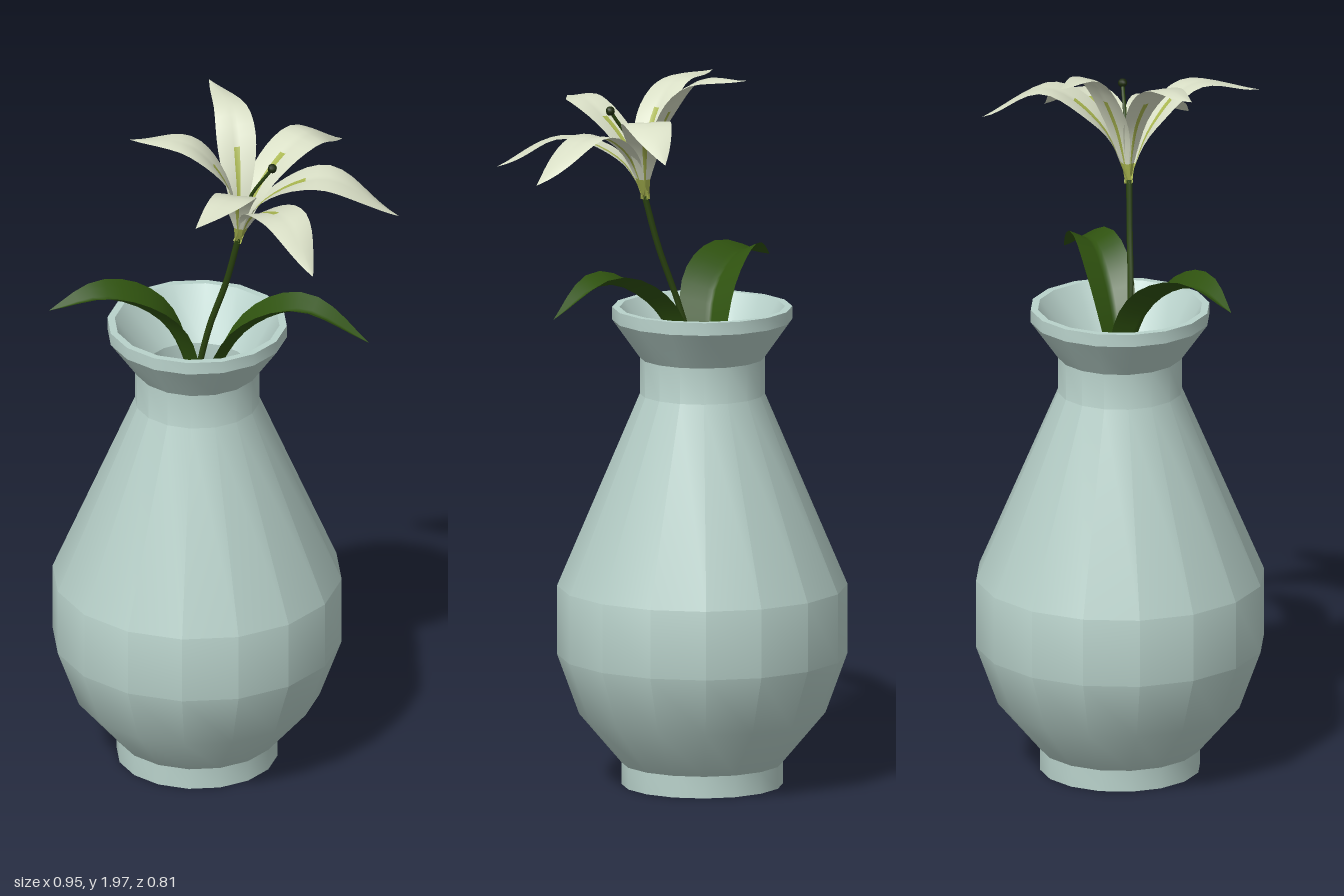
import * as THREE from 'three';
import { toCreasedNormals } from 'three/addons/utils/BufferGeometryUtils.js';

const mat = (name, color, side = THREE.FrontSide) => {
  const m = new THREE.MeshStandardMaterial({ color, side });
  m.name = name;
  return m;
};
const curve = (pts) => new THREE.CatmullRomCurve3(pts.map((p) => new THREE.Vector3(...p)));

// Curved blade swept along a path; halfWidth(t) and lift(u, t) shape its section.
// tinted(t, u) picks the cells that take the second material.
function blade(pts, halfWidth, lift, tinted) {
  const path = curve(pts), rows = 18, us = [-1, -0.6, -0.15, 0, 0.15, 0.6, 1];
  const a = path.getPoint(0), b = path.getPoint(1);
  const side = new THREE.Vector3(b.z - a.z, 0, a.x - b.x).normalize();
  const pos = [], plain = [], tint = [];
  for (let i = 0; i <= rows; i++) {
    const t = i / rows, p = path.getPointAt(t), w = halfWidth(t);
    const n = new THREE.Vector3().crossVectors(path.getTangentAt(t), side).normalize();
    for (const u of us) {
      const v = p.clone().addScaledVector(side, u * w).addScaledVector(n, lift(u, t) * w);
      pos.push(v.x, v.y, v.z);
    }
  }
  const c = us.length;
  for (let i = 0; i < rows; i++) {
    for (let j = 0; j < c - 1; j++) {
      const k = i * c + j;
      const list = tinted((i + 0.5) / rows, (us[j] + us[j + 1]) / 2) ? tint : plain;
      list.push(k, k + c, k + 1, k + 1, k + c, k + c + 1);
    }
  }
  const g = new THREE.BufferGeometry();
  g.setAttribute('position', new THREE.Float32BufferAttribute(pos, 3));
  g.setIndex([...plain, ...tint]);
  g.addGroup(0, plain.length, 0);
  g.addGroup(plain.length, tint.length, 1);
  g.computeVertexNormals();
  return g;
}

export function createModel() {
  const root = new THREE.Group();
  const glaze = mat('glaze', 0xb9d2cb);
  const leafGreen = mat('leaf green', 0x2f520f, THREE.DoubleSide);
  const stemGreen = mat('stem green', 0x2b4410);
  const cream = mat('petal cream', 0xd9dfc6, THREE.DoubleSide);
  const lime = mat('petal streak', 0xa9b650, THREE.DoubleSide);
  const dark = mat('stigma dark', 0x1c2a0c);
  const add = (name, geo, material, parent = root) => {
    const m = new THREE.Mesh(geo, material);
    m.name = name;
    parent.add(m);
    return m;
  };

  // Vase: outer wall, lip, inner wall and floor in one turned profile
  const profile = [
    [0, 0], [0.22, 0], [0.22, 0.06], [0.335, 0.195], [0.395, 0.36], [0.395, 0.55],
    [0.17, 1.08], [0.17, 1.18], [0.245, 1.285], [0.245, 1.32], [0.225, 1.32],
    [0.143, 1.18], [0.143, 1.08], [0.365, 0.55], [0.365, 0.36], [0.3, 0.2], [0, 0.1],
  ].map(([x, y]) => new THREE.Vector2(x, y));
  const vase = add('vase', toCreasedNormals(new THREE.LatheGeometry(profile, 16), 0.5), glaze);
  vase.position.set(-0.083, 0, -0.012);

  // Stem
  const stemPath = curve([[-0.09, 0.85, -0.03], [-0.083, 1.1, 0], [-0.03, 1.32, 0.024],
    [0.03, 1.49, 0.03], [0.068, 1.63, 0.034]]);
  add('stem', new THREE.TubeGeometry(stemPath, 20, 0.009, 6), stemGreen);

  // Two arching leaves folded along the midrib
  const leaves = [
    [[-0.1, 0.95, -0.03], [-0.11, 1.2, 0.01], [-0.155, 1.35, 0.075], [-0.265, 1.425, 0.165], [-0.4, 1.395, 0.25]],
    [[-0.07, 0.95, 0], [-0.01, 1.2, -0.01], [0.08, 1.34, -0.025], [0.22, 1.41, -0.05], [0.4, 1.335, -0.1]],
  ];
  leaves.forEach((pts, i) => {
    const size = i ? 0.066 : 0.08;
    add(i ? 'leftLeaf' : 'rightLeaf', blade(pts,
      (t) => size * Math.max(Math.sin(Math.PI * Math.pow(t, 1.3)), 0.25 * (1 - t)),
      (u) => 0.5 * Math.abs(u), () => false), [leafGreen, leafGreen]);
  });

  // Six petals: two path points, tip and half width, opening from a shared throat
  const flower = new THREE.Group();
  flower.name = 'flower';
  root.add(flower);
  const petals = [
    [[0.045, 1.8, -0.01], [-0.02, 1.955, -0.09], [-0.14, 1.97, -0.185], 0.054],
    [[0.1, 1.78, -0.04], [0.155, 1.875, -0.18], [0.18, 1.79, -0.355], 0.067],
    [[0.13, 1.75, 0.01], [0.28, 1.825, -0.07], [0.47, 1.72, -0.145], 0.066],
    [[0.13, 1.73, 0.06], [0.27, 1.79, 0.135], [0.415, 1.7, 0.245], 0.062],
    [[0.1, 1.77, 0.1], [0.155, 1.87, 0.22], [0.135, 1.85, 0.4], 0.056],
    [[0.045, 1.8, 0.055], [-0.045, 1.925, 0.105], [-0.195, 1.935, 0.17], 0.057],
  ];
  petals.forEach(([a, b, tip, size], i) => {
    add('petal' + (i + 1), blade([[0.067, 1.62, 0.032], a, b, tip],
      (t) => size * Math.max(Math.sin(Math.PI * Math.pow(t, 1.2)), 0.2 * (1 - t)),
      (u, t) => 0.35 * Math.abs(u) * (1 - t) - 0.22 * u * u * t + 0.1 * u * Math.sin(9 * t + i),
      (t, u) => t < 0.1 || (t < 0.52 && Math.abs(u) < 0.15)), [cream, lime], flower);
  });

  // Pistil with a dark rounded tip
  const pistil = curve([[0.068, 1.62, 0.033], [0.1, 1.76, 0.03], [0.17, 1.87, 0.03]]);
  add('pistil', new THREE.TubeGeometry(pistil, 10, 0.005, 6), stemGreen, flower);
  const stigma = add('stigma', new THREE.SphereGeometry(0.013, 8, 6), dark, flower);
  stigma.position.set(0.172, 1.873, 0.03);
  return root;
}
